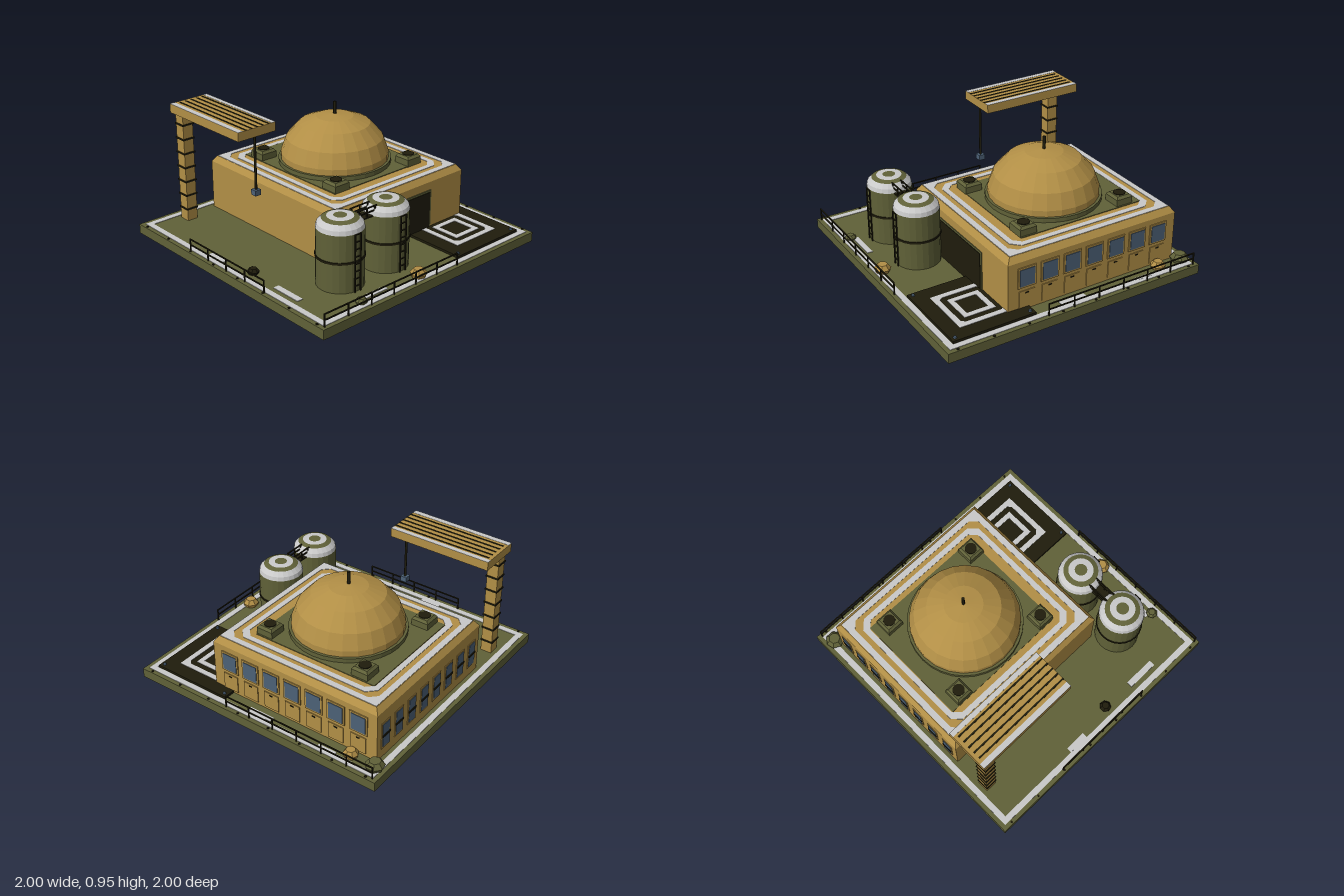
import * as THREE from 'three';

const mat = (name, color) => {
  const m = new THREE.MeshStandardMaterial({ color });
  m.name = name;
  return m;
};

export function createModel() {
  const root = new THREE.Group();
  root.name = 'industrialBase';
  const ochre = mat('ochre', 0xb28f46), olive = mat('olive', 0x606138), dark = mat('nearBlack', 0x1f1c0c);
  const grey = mat('paleGrey', 0xc9c9c9), blue = mat('windowBlue', 0x4c6177);

  const add = (name, geo, m, x = 0, y = 0, z = 0, parent = root) => {
    const mesh = new THREE.Mesh(geo, m);
    mesh.name = name;
    mesh.position.set(x, y, z);
    parent.add(mesh);
    return mesh;
  };
  const flat = (geo) => {
    const g = geo.index ? geo.toNonIndexed() : geo;
    g.computeVertexNormals();
    return g;
  };
  // box given by its limits
  const box = (name, m, x0, x1, y0, y1, z0, z1, parent = root) =>
    add(name, new THREE.BoxGeometry(x1 - x0, y1 - y0, z1 - z0), m, (x0 + x1) / 2, (y0 + y1) / 2, (z0 + z1) / 2, parent);
  // box whose top is drawn in by `inset`
  const taper = (w, h, d, inset) => {
    const g = new THREE.BoxGeometry(w, h, d), p = g.attributes.position;
    for (let i = 0; i < p.count; i++) if (p.getY(i) > 0) {
      p.setX(i, p.getX(i) - Math.sign(p.getX(i)) * inset);
      p.setZ(i, p.getZ(i) - Math.sign(p.getZ(i)) * inset);
    }
    return flat(g);
  };
  const turned = (pts, sides) => flat(new THREE.LatheGeometry(pts.map(([r, y]) => new THREE.Vector2(r, y)), sides));
  // flat painted frame with optional cut corners
  const outline = (P, hx, hz, c) => {
    const pts = c ? [[hx - c, -hz], [hx, c - hz], [hx, hz - c], [hx - c, hz], [c - hx, hz], [-hx, hz - c], [-hx, c - hz], [c - hx, -hz]]
      : [[hx, -hz], [hx, hz], [-hx, hz], [-hx, -hz]];
    return new P(pts.map(([x, y]) => new THREE.Vector2(x, y)));
  };
  const frame = (name, m, x, y, z, hx, hz, w, cutOut = 0, cutIn = 0) => {
    const s = outline(THREE.Shape, hx, hz, cutOut);
    s.holes.push(outline(THREE.Path, hx - w, hz - w, cutIn));
    const g = new THREE.ExtrudeGeometry(s, { depth: 0.003, bevelEnabled: false });
    g.rotateX(-Math.PI / 2);
    return add(name, g, m, x, y, z);
  };

  // ground slab, hollow underneath
  box('groundTop', olive, -1, 1, 0.06, 0.07, -1, 1);
  for (const s of [-1, 1]) {
    add('groundSkirt', new THREE.BoxGeometry(0.006, 0.06, 2), olive, s * 0.997, 0.03, 0);
    add('groundSkirt', new THREE.BoxGeometry(1.988, 0.06, 0.006), olive, 0, 0.03, s * 0.997);
  }
  // border paint, dashes and bolts
  frame('borderStripe', grey, 0, 0.07, 0, 0.968, 0.968, 0.043);
  [[-0.27, -0.11, 0.885, 0.925], [0.39, 0.63, 0.845, 0.89], [0.855, 0.895, 0.35, 0.59],
    [-0.64, -0.5, -0.94, -0.91], [-0.1, 0.1, -0.925, -0.88]]
    .forEach(([a, b, c, d]) => box('groundDash', grey, a, b, 0.07, 0.074, c, d));
  for (let i = 0; i < 8; i++) for (const s of [-1, 1])
    add('edgeBolt', new THREE.CylinderGeometry(0.009, 0.009, 0.008, 6), dark, -0.92 + i * 0.263, 0.072, s * 0.983);

  // main building
  const cx = -0.2175, cz = -0.2075;
  box('buildingWalls', ochre, -0.895, 0.46, 0.07, 0.435, -0.825, 0.41);
  add('buildingRoof', taper(1.355, 0.043, 1.235, 0.03), ochre, cx, 0.4565, cz);
  frame('outerRoofStripe', grey, cx, 0.478, cz, 0.644, 0.585, 0.044, 0, 0.05);
  frame('innerRoofStripe', grey, cx, 0.478, cz, 0.562, 0.508, 0.04, 0.06, 0.05);
  box('roofPanel', olive, -0.735, 0.235, 0.478, 0.483, -0.635, 0.215);

  // dome with base ring and mast
  add('domeRing', flat(new THREE.CylinderGeometry(0.41, 0.41, 0.035, 32)), olive, -0.22, 0.4975, -0.203);
  const domeProfile = [[0.392, 0.51], [0.392, 0.56], [0.352, 0.67], [0.257, 0.775], [0.135, 0.824], [0, 0.84]];
  add('dome', turned(domeProfile, 24), ochre, -0.22, 0, -0.203);
  add('domeMast', new THREE.CylinderGeometry(0.011, 0.011, 0.1, 8), dark, -0.22, 0.88, -0.203);

  // roof vents
  for (const x of [-0.61, 0.175]) for (const z of [-0.56, 0.145]) {
    box('ventBody', olive, x - 0.065, x + 0.065, 0.478, 0.53, z - 0.065, z + 0.065);
    add('ventTop', taper(0.13, 0.018, 0.13, 0.015), olive, x, 0.539, z);
    add('ventFan', new THREE.CylinderGeometry(0.043, 0.043, 0.006, 12), dark, x, 0.55, z);
  }

  // back windows with service hatches below
  for (let i = 0; i < 7; i++) {
    const x = cx + (i - 3) * 0.178;
    box('backWindowFrame', ochre, x - 0.07, x + 0.07, 0.24, 0.392, -0.832, -0.825);
    box('backWindowPane', blue, x - 0.057, x + 0.057, 0.253, 0.379, -0.836, -0.832);
    box('hatchPanel', ochre, x - 0.06, x + 0.06, 0.09, 0.215, -0.831, -0.825);
    box('hatchHandle', dark, x - 0.013, x + 0.013, 0.195, 0.203, -0.835, -0.831);
  }
  // narrow side windows
  for (let i = 0; i < 8; i++) {
    const z = cz + (i - 3.5) * 0.15;
    box('sideWindowFrame', ochre, -0.899, -0.895, 0.14, 0.345, z - 0.047, z + 0.047);
    box('sideWindowPane', blue, -0.902, -0.899, 0.152, 0.333, z - 0.036, z + 0.036);
    box('sideWindowBar', dark, -0.907, -0.899, 0.235, 0.25, z - 0.042, z + 0.042);
  }
  // hangar door
  box('doorFrame', olive, 0.46, 0.466, 0.07, 0.375, -0.505, 0.085);
  box('doorOpening', dark, 0.466, 0.47, 0.07, 0.36, -0.49, 0.07);

  // landing pad
  box('landingPad', dark, 0.3, 0.92, 0.07, 0.088, -0.92, -0.3);
  frame('padOuterStripe', grey, 0.61, 0.088, -0.615, 0.2, 0.2, 0.04, 0, 0.025);
  frame('padInnerStripe', grey, 0.61, 0.088, -0.615, 0.118, 0.118, 0.038);
  for (const x of [0.33, 0.89]) for (const z of [-0.89, -0.33])
    add('padLamp', new THREE.CylinderGeometry(0.01, 0.012, 0.012, 6), blue, x, 0.094, z);

  // crane
  box('craneColumn', ochre, -0.892, -0.808, 0.07, 0.885, 0.623, 0.706);
  for (let i = 0; i < 7; i++) {
    const y = 0.16 + i * 0.108;
    box('columnBand', dark, -0.898, -0.802, y - 0.006, y + 0.006, 0.617, 0.712);
  }
  box('craneBeam', ochre, -0.92, -0.14, 0.885, 0.95, 0.41, 0.73);
  box('beamStripeBack', grey, -0.92, -0.14, 0.95, 0.9515, 0.41, 0.445);
  box('beamStripeFront', grey, -0.92, -0.14, 0.95, 0.9515, 0.69, 0.73);
  for (let i = 0; i < 5; i++) {
    const z = 0.467 + i * 0.048;
    box('beamSlat', dark, -0.895, -0.14, 0.95, 0.953, z - 0.006, z + 0.006);
  }
  add('craneCable', new THREE.CylinderGeometry(0.009, 0.009, 0.4, 8), dark, -0.17, 0.685, 0.57);
  box('craneHook', blue, -0.194, -0.146, 0.45, 0.49, 0.546, 0.594);

  // storage tanks
  for (const z of [0.107, 0.516]) {
    const tank = new THREE.Group();
    tank.name = 'tank';
    tank.position.set(0.62, 0, z);
    root.add(tank);
    const lathe = (name, m, pts) => add(name, turned(pts, 24), m, 0, 0, 0, tank);
    lathe('tankBody', olive, [[0.162, 0.07], [0.162, 0.48]]);
    lathe('tankShoulder', grey, [[0.162, 0.48], [0.155, 0.51], [0.125, 0.54]]);
    lathe('tankTop', olive, [[0.125, 0.54], [0.09, 0.553]]);
    lathe('tankTopRing', grey, [[0.09, 0.553], [0.045, 0.556]]);
    lathe('tankLid', olive, [[0.045, 0.556], [0, 0.557]]);
    lathe('tankBand', dark, [[0.162, 0.277], [0.168, 0.277], [0.168, 0.292], [0.162, 0.292]]);
    for (const s of [-1, 1]) box('ladderRail', dark, 0.164, 0.172, 0.07, 0.48, s * 0.024 - 0.004, s * 0.024 + 0.004, tank);
    for (let y = 0.11; y < 0.48; y += 0.052) box('ladderRung', dark, 0.164, 0.17, y, y + 0.007, -0.024, 0.024, tank);
  }
  // walkway between tanks
  box('walkwayFloor', dark, 0.58, 0.66, 0.475, 0.484, 0.225, 0.395);
  for (const x of [0.585, 0.655]) {
    for (const y of [0.515, 0.547]) box('walkwayRail', dark, x - 0.004, x + 0.004, y - 0.004, y + 0.004, 0.225, 0.4);
    for (const z of [0.24, 0.312, 0.385]) box('walkwayPost', dark, x - 0.004, x + 0.004, 0.48, 0.55, z - 0.004, z + 0.004);
  }

  // perimeter railings
  const railing = (x0, z0, x1, z1, n) => {
    const r = 0.004;
    for (const y of [0.118, 0.16]) box('railingBar', dark, x0 - r, x1 + r, y - r, y + r, z0 - r, z1 + r);
    for (let i = 0; i <= n; i++) {
      const x = x0 + (x1 - x0) * i / n, z = z0 + (z1 - z0) * i / n;
      box('railingPost', dark, x - r, x + r, 0.07, 0.16, z - r, z + r);
    }
  };
  railing(-0.4, 0.975, 0.4, 0.975, 4);
  railing(0.975, -0.225, 0.975, 0.97, 6);
  railing(-0.965, -0.975, 0.24, -0.975, 6);

  // scattered boulders
  [[-0.92, -0.88, 0.068, 0.06, olive], [-0.73, -0.88, 0.055, 0.055, ochre], [0.91, 0.08, 0.06, 0.058, ochre],
    [0.91, 0.6, 0.042, 0.036, olive], [0.145, 0.86, 0.043, 0.04, dark]].forEach(([x, z, r, h, m], i) => {
    const rock = add('boulder', turned([[0.82 * r, 0], [r, 0.45 * h], [0.6 * r, h], [0, h]], 7), m, x, 0.07, z);
    rock.rotation.y = i * 1.3;
  });
  return root;
}
